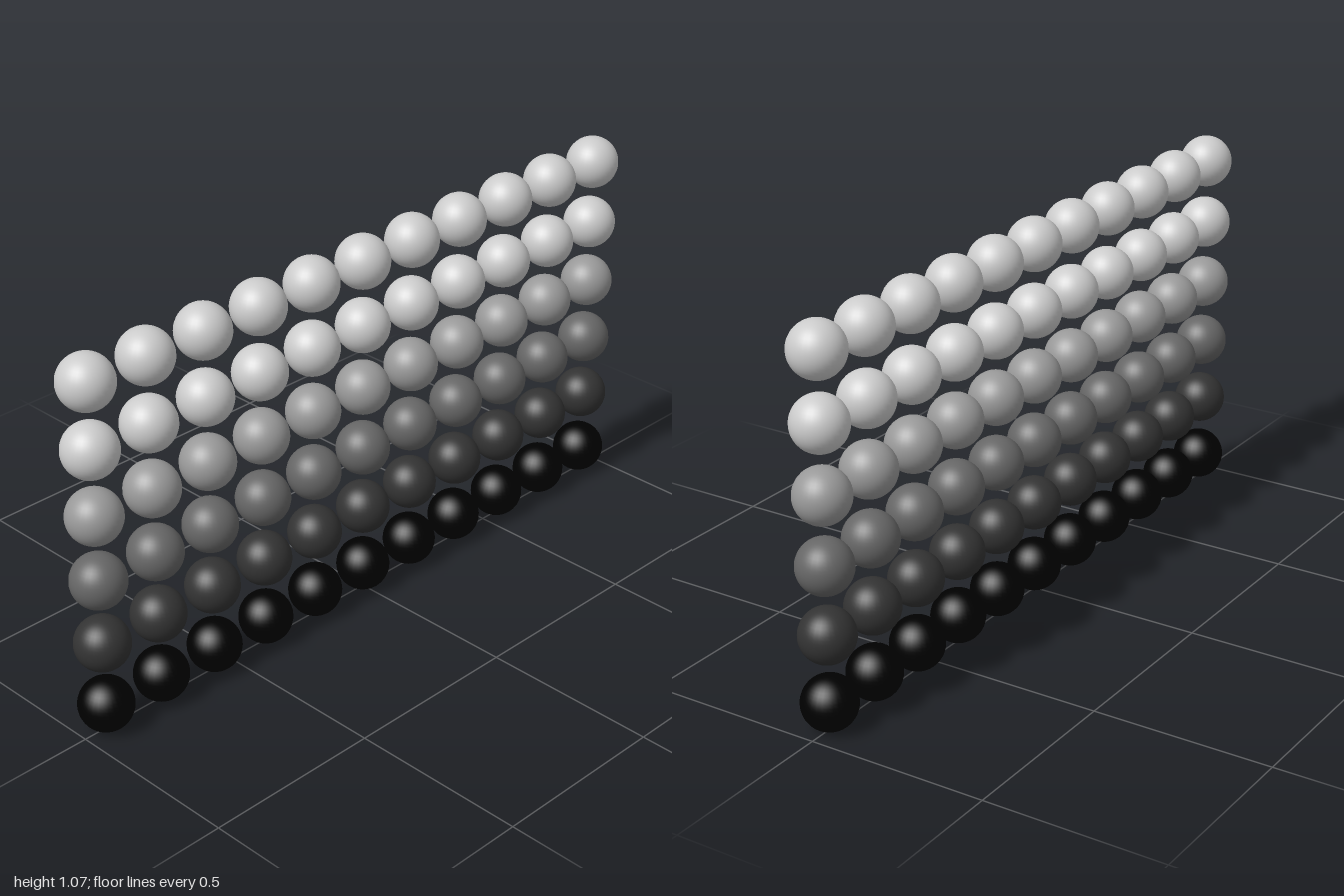
import * as THREE from 'three';

// Upright grid of separate balls, shaded from black at the bottom to light grey at the top
const COLUMNS = 11;
const RADIUS = 2 / 27;
const SPACING = RADIUS * 2.5;
const ROW_COLORS = [0x000000, 0x333333, 0x666666, 0x999999, 0xcccccc, 0xcccccc];

export function createModel() {
  const model = new THREE.Group();
  model.name = 'ballGrid';
  const ball = new THREE.SphereGeometry(RADIUS, 32, 24);

  ROW_COLORS.forEach((color, r) => {
    // One row of balls sharing a shade
    const row = new THREE.Group();
    row.name = `row${r + 1}`;
    row.position.y = RADIUS + r * SPACING;
    const material = new THREE.MeshStandardMaterial({ color });

    for (let c = 0; c < COLUMNS; c++) {
      const mesh = new THREE.Mesh(ball, material);
      mesh.name = `ball${r + 1}_${c + 1}`;
      mesh.position.x = (c - (COLUMNS - 1) / 2) * SPACING;
      row.add(mesh);
    }
    model.add(row);
  });
  return model;
}
